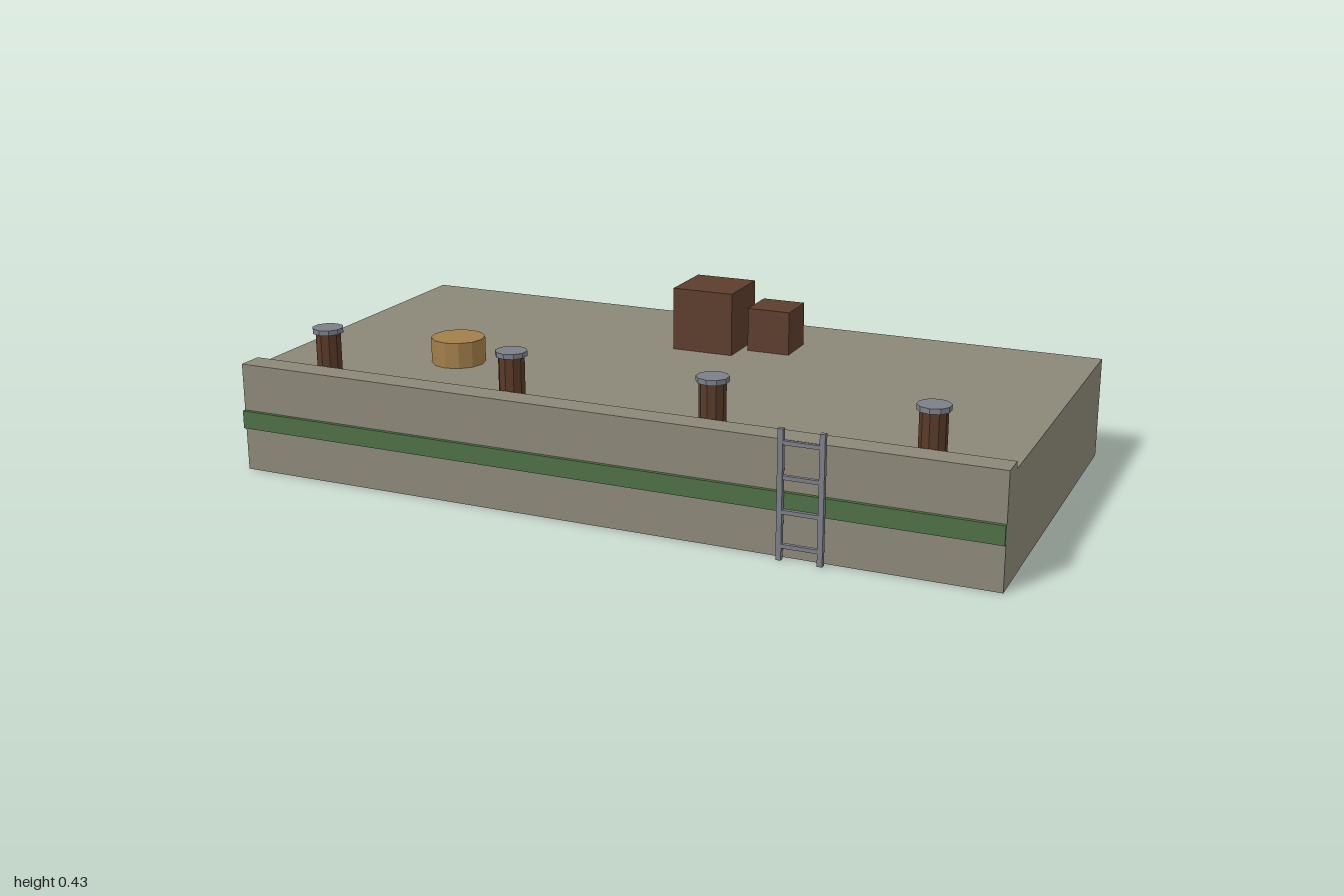
import * as THREE from 'three';

const mat = (name, color) => {
  const m = new THREE.MeshStandardMaterial({ color });
  m.name = name;
  return m;
};

export function createModel() {
  const concrete = mat('concrete', 0x8c8778);
  const green = mat('green algae', 0x4f6f44);
  const crateWood = mat('crate wood', 0x5c3d2c);
  const postWood = mat('post wood', 0x583a28);
  const barrelWood = mat('barrel wood', 0xa37f4a);
  const metal = mat('metal', 0x7c7f88);
  const model = new THREE.Group();
  model.name = 'quay';
  const deck = 0.267;

  const add = (name, geometry, material, x, y, z, parent = model) => {
    const mesh = new THREE.Mesh(geometry, material);
    mesh.name = name;
    mesh.position.set(x, y, z);
    parent.add(mesh);
    return mesh;
  };
  const box = (name, w, h, d, material, x, y, z, parent) =>
    add(name, new THREE.BoxGeometry(w, h, d), material, x, y, z, parent);
  // Low-poly drum with flat facets, standing on y
  const drum = (name, r, h, sides, material, x, y, z, parent) => {
    const g = new THREE.CylinderGeometry(r, r, h, sides).toNonIndexed();
    g.computeVertexNormals();
    return add(name, g, material, x, y + h / 2, z, parent);
  };

  // Quay block, raised front curb and waterline band
  box('quayBlock', 2, deck, 1, concrete, 0, deck / 2, -0.012);
  box('frontCurb', 2, 0.018, 0.067, concrete, 0, deck + 0.009, 0.4545);
  box('waterlineBand', 2, 0.047, 0.01, green, 0, 0.138, 0.493);

  // Mooring posts with metal caps
  for (const x of [-0.8, -0.267, 0.267, 0.8]) {
    const post = new THREE.Group();
    post.name = 'mooringPost';
    post.position.set(x, deck, 0.387);
    model.add(post);
    drum('postShaft', 0.033, 0.1, 10, postWood, 0, 0, 0, post);
    drum('postCap', 0.04, 0.013, 10, metal, 0, 0.1, 0, post);
  }

  // Ladder on the front face
  const ladder = new THREE.Group();
  ladder.name = 'ladder';
  ladder.position.set(0.533, 0, 0.505);
  model.add(ladder);
  for (const side of [-1, 1])
    box('ladderRail', 0.013, 0.317, 0.013, metal, side * 0.05, 0.1585, 0, ladder);
  for (let i = 0; i < 4; i++)
    box('ladderRung', 0.1, 0.01, 0.01, metal, 0, 0.035 + i * 0.083, 0, ladder);

  // Cargo on the deck
  box('largeCrate', 0.167, 0.167, 0.167, crateWood, 0.014, deck + 0.0835, -0.231);
  box('smallCrate', 0.116, 0.116, 0.116, crateWood, 0.176, deck + 0.058, -0.27);
  drum('barrel', 0.07, 0.067, 12, barrelWood, -0.535, deck, 0.187);

  return model;
}
